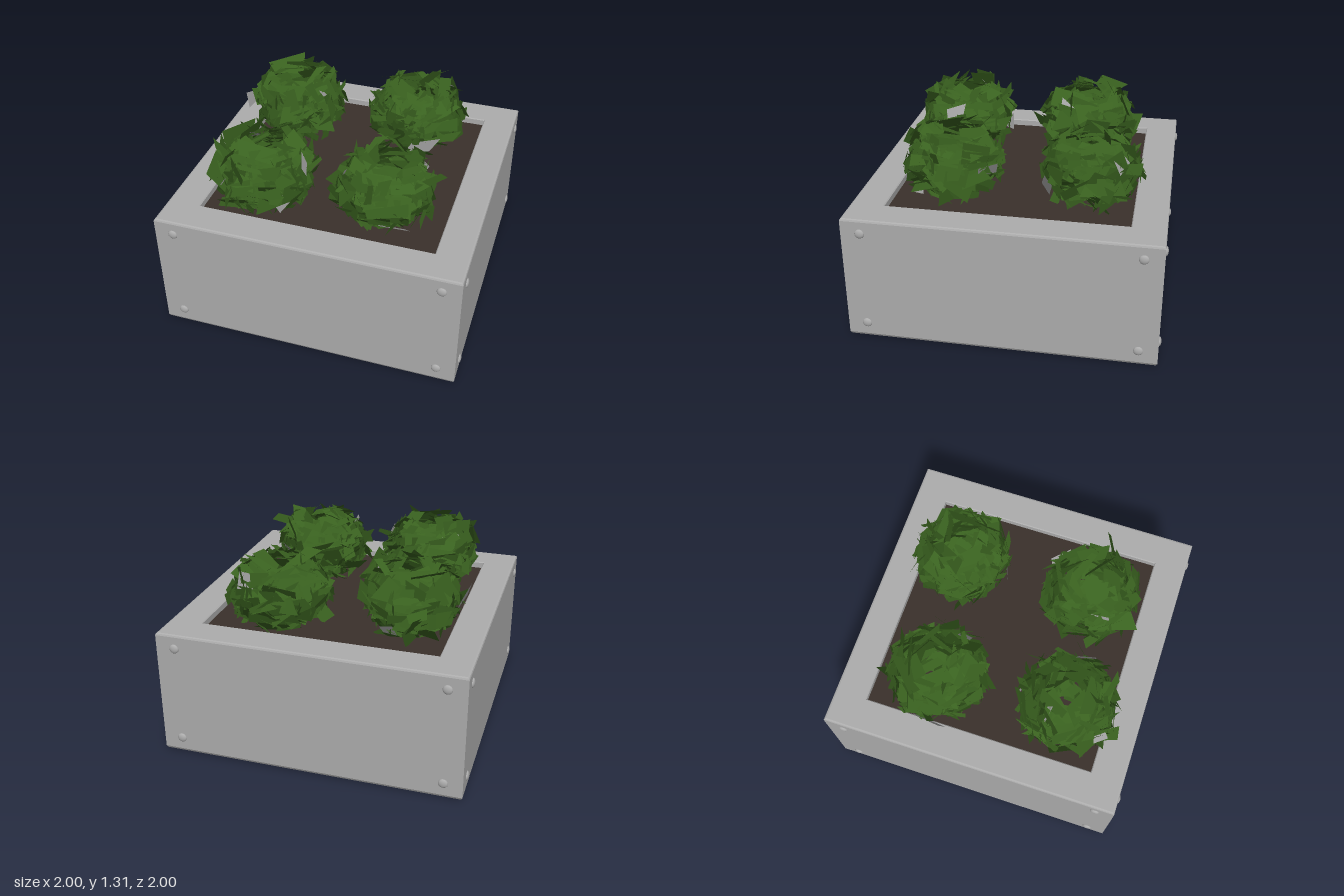
import * as THREE from 'three';

const mat = (name, color) => new THREE.MeshStandardMaterial({ name, color });

// Small seeded random generator
function seeded(seed) {
  let s = seed;
  return () => {
    s = (s * 1664525 + 1013904223) % 4294967296;
    return s / 4294967296;
  };
}

// Square planter turned from a profile of [half width, height]
function squareTurned(profile) {
  const points = profile.map(([half, y]) => new THREE.Vector2(half * Math.SQRT2, y));
  const g = new THREE.LatheGeometry(points, 4, Math.PI / 4).toNonIndexed();
  g.computeVertexNormals();
  return g;
}

// Jagged, spiky leaf plates laid over a squashed ball with a sparse crown
function leafGeometry(rand, count, rx, ry, size) {
  const pos = [];
  for (let i = 0; i < count; i++) {
    const v = 0.93 - 1.88 * (i + 0.5) / count;
    const a = i * 2.39996 + rand() * 0.6;
    const ring = Math.sqrt(1 - v * v);
    const n = new THREE.Vector3(Math.cos(a) * ring, v, Math.sin(a) * ring);
    const depth = 0.82 + rand() * 0.2;
    const centre = new THREE.Vector3(n.x * rx, n.y * ry, n.z * rx).multiplyScalar(depth);
    // Tilt every plate away from the surface
    const facing = n.clone()
      .add(new THREE.Vector3(rand() - 0.5, rand() - 0.5, rand() - 0.5).multiplyScalar(1.25))
      .normalize();
    const side = new THREE.Vector3(-Math.sin(a), (rand() - 0.5) * 0.8, Math.cos(a));
    side.addScaledVector(facing, -side.dot(facing)).normalize();
    const up = new THREE.Vector3().crossVectors(facing, side);
    const w = (0.07 + rand() * 0.07) * size, h = (0.025 + rand() * 0.06) * size;
    const corner = (sx, sy) => centre.clone()
      .addScaledVector(side, sx * w * (0.5 + rand() * 0.7))
      .addScaledVector(up, sy * h * (0.1 + rand() * 1.1));
    const [p, q, r, s] = [corner(-1, -1), corner(1, -1), corner(1, 1), corner(-1, 1)];
    for (const c of [p, q, r, p, r, s]) pos.push(c.x, c.y, c.z);
  }
  const g = new THREE.BufferGeometry();
  g.setAttribute('position', new THREE.Float32BufferAttribute(pos, 3));
  g.computeVertexNormals();
  return g;
}

export function createModel() {
  const model = new THREE.Group();
  model.name = 'planter';
  const stone = mat('concrete', 0xadadad);
  const soilMat = mat('soil', 0x3a312b);
  const leafMat = mat('leaf', 0x39611f);
  const paleMat = mat('paleLeaf', 0xa0a0a0);
  leafMat.side = paleMat.side = THREE.DoubleSide;

  const add = (parent, name, geo, material, x = 0, y = 0, z = 0) => {
    const m = new THREE.Mesh(geo, material);
    m.name = name;
    m.position.set(x, y, z);
    parent.add(m);
  };

  // Square box with a closed bottom, rounded edges and a broad rim
  const H = 0.984, top = 0.85, inner = 0.767;
  add(model, 'box', squareTurned([
    [0, 0], [H - 0.026, 0], [H - 0.009, 0.009], [H, 0.026],
    [H, top - 0.014], [H - 0.004, top - 0.004], [H - 0.014, top],
    [inner + 0.006, top], [inner, top - 0.006], [inner, 0.75],
  ]), stone);
  add(model, 'soil', new THREE.BoxGeometry(1.536, 0.1, 1.536), soilMat, 0, 0.755, 0);

  // Four domed bolts on each side
  const dome = new THREE.SphereGeometry(0.031, 14, 6, 0, Math.PI * 2, 0, Math.PI / 2);
  dome.scale(1, 0.45, 1).rotateX(Math.PI / 2);
  for (let k = 0; k < 4; k++) {
    const side = new THREE.Group();
    side.name = 'boltedSide';
    side.rotation.y = k * Math.PI / 2;
    for (const x of [-0.862, 0.862])
      for (const y of [0.11, 0.757]) add(side, 'bolt', dome, stone, x, y, H);
    model.add(side);
  }

  // Four leafy shrubs: x, z, height of the middle, number of pale leaves
  const shrubs = [[-0.49, -0.36, 1.03, 3], [0.34, -0.47, 1.02, 2], [-0.42, 0.5, 1.03, 6], [0.35, 0.42, 1.02, 3]];
  shrubs.forEach(([x, z, y, pale], i) => {
    const rand = seeded(17 + i * 101);
    const shrub = new THREE.Group();
    shrub.name = 'shrub';
    shrub.position.set(x, y, z);
    shrub.rotation.y = i * 1.3;
    add(shrub, 'outerLeaves', leafGeometry(rand, 210, 0.305, 0.235, 1), leafMat);
    add(shrub, 'innerLeaves', leafGeometry(rand, 60, 0.24, 0.19, 1), leafMat);
    add(shrub, 'paleLeaves', leafGeometry(rand, pale, 0.325, 0.245, 0.9), paleMat);
    model.add(shrub);
  });
  return model;
}
